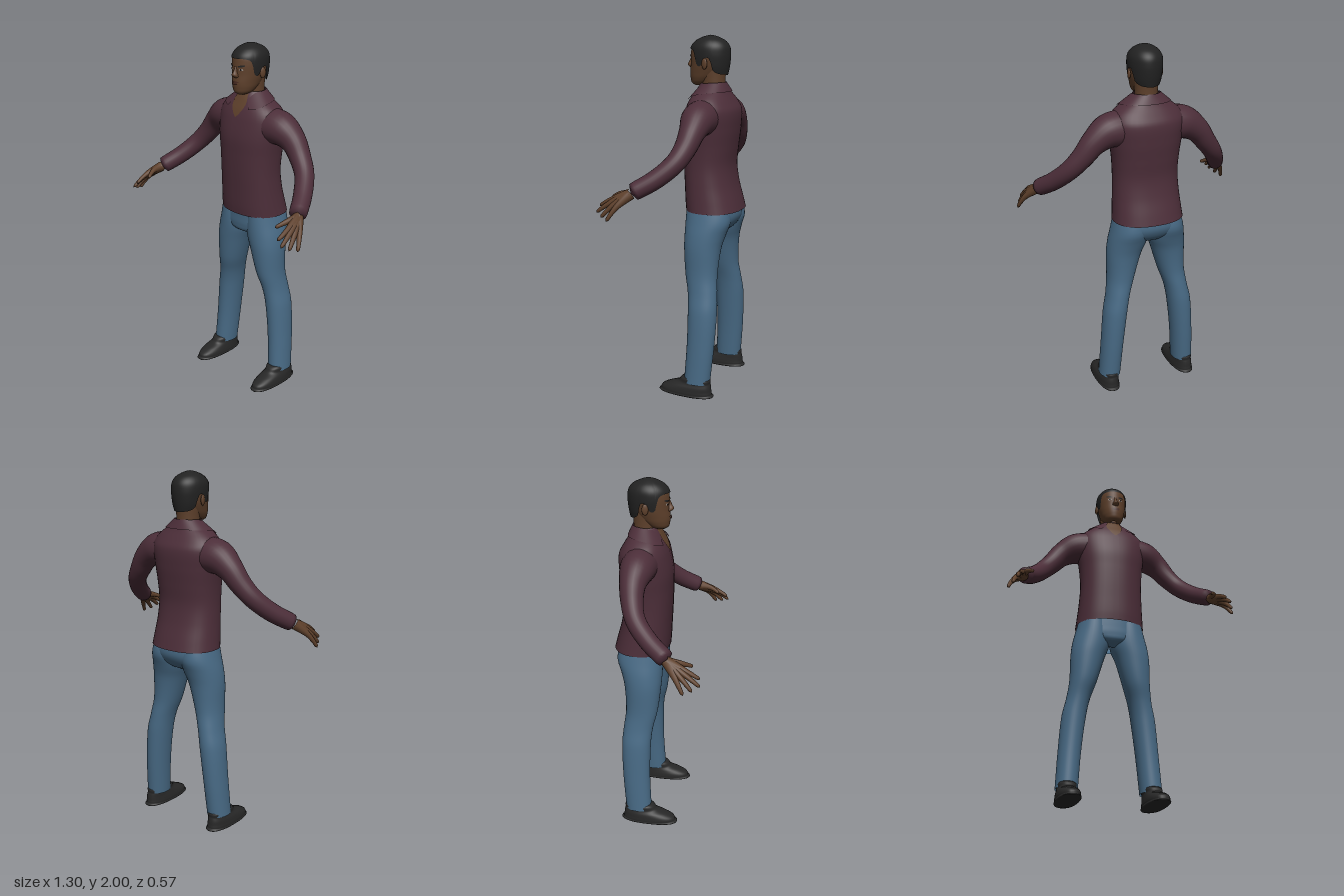
import * as THREE from 'three';
import { mergeVertices } from 'three/addons/utils/BufferGeometryUtils.js';

const mat = (name, color, side = THREE.FrontSide) => {
  const m = new THREE.MeshStandardMaterial({ color, side });
  m.name = name;
  return m;
};

// Smooth surface from f(u, v); its outside is du x dv.
function grid(f, nu, nv) {
  const pos = [], idx = [], w = nu + 1;
  for (let j = 0; j <= nv; j++)
    for (let i = 0; i <= nu; i++) pos.push(...f(i / nu, j / nv));
  for (let j = 0; j < nv; j++)
    for (let i = 0; i < nu; i++) {
      const a = j * w + i, b = a + 1, c = b + w, d = a + w;
      idx.push(a, b, c, a, c, d);
    }
  let g = new THREE.BufferGeometry();
  g.setAttribute('position', new THREE.Float32BufferAttribute(pos, 3));
  g.setIndex(idx);
  g = mergeVertices(g, 1e-5);
  g.computeVertexNormals();
  return g;
}

// Smoothly interpolated row of values at key y.
function sample(rows, y) {
  const n = rows.length - 1;
  let i = 0;
  while (i < n - 1 && y > rows[i + 1][0]) i++;
  const h = rows[i + 1][0] - rows[i][0];
  const t = THREE.MathUtils.clamp((y - rows[i][0]) / h, 0, 1);
  return rows[0].slice(1).map((_, k) => {
    const slope = (j) => {
      const p = rows[Math.max(0, j - 1)], q = rows[Math.min(n, j + 1)];
      return (q[k + 1] - p[k + 1]) / (q[0] - p[0]);
    };
    const a = rows[i][k + 1], b = rows[i + 1][k + 1], t2 = t * t, t3 = t2 * t;
    return a * (2 * t3 - 3 * t2 + 1) + b * (3 * t2 - 2 * t3)
      + h * (slope(i) * (t3 - 2 * t2 + t) + slope(i + 1) * (t3 - t2));
  });
}

// Body surface from rows [y, centreX, radiusX, frontZ, backZ]; angle 0 is the front.
const bow = (s, p) => Math.sign(s) * Math.abs(s) ** p;
const body = (rows, p = 1) => (a, y, off = 0) => {
  const [cx, rx, zf, zb] = sample(rows, y);
  return [cx + (Math.max(0, rx) + off) * bow(Math.sin(a), p), y,
    (zf + zb) / 2 + (Math.max(0, zf - zb) / 2 + off) * bow(Math.cos(a), p)];
};
const TAU = Math.PI * 2;
const loft = (rows, p = 1, nv = 40) => {
  const s = body(rows, p), y0 = rows[0][0], y1 = rows.at(-1)[0];
  return grid((u, v) => s(u * TAU, y0 + (y1 - y0) * v), 40, nv);
};

// Round limb through points [x, y, z, radius] with a rounded far end.
function limb(pts, nv, nu, round) {
  const curve = new THREE.CatmullRomCurve3(pts.map((p) => new THREE.Vector3(p[0], p[1], p[2])));
  const fr = curve.computeFrenetFrames(nv, false);
  const radii = pts.map((p, i) => [i / (pts.length - 1), p[3]]);
  return grid((u, v) => {
    const j = Math.round(v * nv), a = u * TAU;
    const e = Math.max(0, (v - round) / (1 - round));
    const r = sample(radii, curve.getUtoTmapping(v))[0] * Math.sqrt(Math.max(0, 1 - e * e));
    return curve.getPointAt(v)
      .addScaledVector(fr.normals[j], r * Math.cos(a))
      .addScaledVector(fr.binormals[j], r * Math.sin(a)).toArray();
  }, nu, nv);
}

// Mirror image across x, with the winding put right.
function mirrored(g) {
  const m = g.clone().scale(-1, 1, 1), ix = m.index.array;
  for (let i = 0; i < ix.length; i += 3) [ix[i], ix[i + 1]] = [ix[i + 1], ix[i]];
  m.computeVertexNormals();
  return m;
}

export function createModel() {
  const skin = mat('skin', 0x5e402b), lip = mat('lips', 0x4a2c23);
  const shirt = mat('shirt', 0x4c2e39, THREE.DoubleSide);
  const denim = mat('denim', 0x486a85, THREE.DoubleSide);
  const hairMat = mat('hair', 0x222222, THREE.DoubleSide);
  const leather = mat('shoe leather', 0x272727);
  const white = mat('eye white', 0x9a9088), dark = mat('pupil', 0x1a1210);
  const model = new THREE.Group();
  model.name = 'standingMan';
  const add = (name, geo, m) => {
    const mesh = new THREE.Mesh(geo, m);
    mesh.name = name;
    model.add(mesh);
  };
  const pair = (name, geo, m) => {
    add(name + 'Left', geo, m);
    add(name + 'Right', mirrored(geo), m);
  };

  // Shirt body
  const torsoRows = [
    [1.05, 0, 0.2, 0.022, -0.285], [1.1, 0, 0.195, 0.027, -0.272], [1.2, 0, 0.187, 0.032, -0.245],
    [1.3, 0, 0.183, 0.037, -0.232], [1.4, 0, 0.188, 0.04, -0.24], [1.5, 0, 0.2, 0.04, -0.25],
    [1.6, 0, 0.208, 0.022, -0.25], [1.65, 0, 0.188, 0.005, -0.225], [1.69, 0, 0.14, -0.015, -0.2],
    [1.72, 0, 0.09, -0.03, -0.185], [1.745, 0, 0.07, -0.045, -0.17]];
  const torso = body(torsoRows, 0.87);
  add('shirtBody', loft(torsoRows, 0.87, 56), shirt);
  add('placket', grid((u, v) => torso((u - 0.5) * 0.12, 1.055 + 0.56 * v, 0.004), 4, 30), shirt);
  // Open neckline
  add('neckline', grid((u, v) => torso((u - 0.5) * 0.9 * v, 1.61 + 0.125 * v, 0.005), 8, 16), skin);
  // Folded collar, lower towards the front
  add('collar', grid((u, v) => {
    const a = 0.38 + u * (TAU - 0.76), f = ((1 + Math.cos(a)) / 2) ** 3;
    const lo = torso(a, 1.7 - 0.045 * f, 0.009);
    const hi = [0.078 * Math.sin(a), 1.75 - 0.025 * f, -0.108 + 0.073 * Math.cos(a)];
    return lo.map((c, k) => c + (hi[k] - c) * v);
  }, 40, 6), shirt);

  // Sleeves
  pair('sleeve', limb([[0.12, 1.57, -0.11, 0.1], [0.22, 1.56, -0.115, 0.092], [0.3, 1.51, -0.12, 0.07],
    [0.36, 1.437, -0.11, 0.059], [0.42, 1.365, -0.08, 0.053], [0.485, 1.285, 0, 0.05],
    [0.55, 1.215, 0.11, 0.047]], 40, 24, 0.965), shirt);

  // Hands: five digits that merge into the palm
  const wrist = [0.555, 1.212, 0.11];
  const tips = { thumb: [0.515, 1.18, 0.235], indexFinger: [0.575, 1.14, 0.28],
    middleFinger: [0.603, 1.11, 0.285], ringFinger: [0.625, 1.09, 0.248], littleFinger: [0.645, 1.078, 0.205] };
  for (const [name, tip] of Object.entries(tips)) {
    const at = (t, up, r) => [...wrist.map((c, k) => c + (tip[k] - c) * t + (k < 2 ? up : 0)), r];
    const slim = name === 'thumb' ? 0.9 : 1;
    pair(name, limb([at(0, 0, 0.03), at(0.25, 0.006, 0.023 * slim), at(0.52, 0.01, 0.0155),
      at(0.78, 0.007, 0.0115), at(1, 0, 0.009)], 18, 10, 0.92), skin);
  }

  // Trousers
  add('trouserSeat', loft([[0.915, 0, 0.05, -0.07, -0.17], [0.935, 0, 0.12, -0.015, -0.21],
    [0.97, 0, 0.188, -0.002, -0.245], [1.02, 0, 0.196, 0, -0.265], [1.1, 0, 0.182, 0, -0.255]], 0.9, 20), denim);
  pair('trouserLeg', loft([[0.085, 0.235, 0.061, -0.045, -0.195], [0.3, 0.22, 0.063, -0.055, -0.213],
    [0.5, 0.2, 0.067, -0.053, -0.22], [0.6, 0.18, 0.066, -0.043, -0.212], [0.7, 0.157, 0.076, -0.02, -0.202],
    [0.85, 0.133, 0.097, -0.004, -0.213], [0.93, 0.114, 0.107, 0, -0.235],
    [1.0, 0.105, 0.1, 0, -0.257], [1.1, 0.1, 0.08, -0.005, -0.24]], 0.95, 48), denim);

  // Shoes
  pair('shoe', loft([[0, 0.24, 0, -0.055, -0.055], [0.003, 0.24, 0.053, 0.09, -0.2],
    [0.02, 0.24, 0.061, 0.099, -0.209], [0.04, 0.24, 0.06, 0.09, -0.207], [0.06, 0.24, 0.056, 0.05, -0.205],
    [0.08, 0.238, 0.05, -0.005, -0.2], [0.115, 0.237, 0.045, -0.045, -0.185],
    [0.12, 0.237, 0, -0.11, -0.11]], 0.85, 48), leather);

  // Head and neck
  add('neck', loft([[1.6, 0, 0.068, -0.05, -0.18], [1.68, 0, 0.063, -0.05, -0.175],
    [1.75, 0, 0.061, -0.045, -0.175], [1.82, 0, 0.064, -0.04, -0.18]], 1, 16), skin);
  const headRows = [[1.73, 0, 0.02, -0.005, -0.06], [1.742, 0, 0.045, 0.014, -0.09],
    [1.77, 0, 0.062, 0.022, -0.13], [1.8, 0, 0.071, 0.024, -0.16], [1.84, 0, 0.08, 0.02, -0.18],
    [1.9, 0, 0.086, 0.018, -0.19], [1.94, 0, 0.081, 0.01, -0.185], [1.97, 0, 0.058, -0.018, -0.16],
    [1.985, 0, 0.025, -0.06, -0.125], [1.99, 0, 0, -0.09, -0.09]];
  const head = body(headRows);
  add('head', loft(headRows, 1, 52), skin);
  add('nose', loft([[1.822, 0, 0.005, 0.018, 0.008], [1.83, 0, 0.018, 0.033, 0],
    [1.842, 0, 0.017, 0.043, 0], [1.86, 0, 0.01, 0.034, 0], [1.885, 0, 0.008, 0.022, 0]], 1, 16), skin);
  pair('ear', new THREE.SphereGeometry(1, 16, 12).scale(0.009, 0.03, 0.018)
    .rotateY(-0.25).translate(0.09, 1.85, -0.095), skin);

  // Facial details laid on the head surface
  const spot = (a0, y0, da, dy, off, tilt = 0) => grid((u, v) => {
    const a = da * u * Math.cos(v * TAU), y = dy * u * Math.sin(v * TAU);
    return head(a0 + a, y0 + y + a * tilt, off);
  }, 4, 24);
  pair('eyebrow', spot(0.42, 1.889, 0.23, 0.005, 0.004, 0.015), hairMat);
  pair('eyeWhite', spot(0.41, 1.87, 0.14, 0.006, 0.003), white);
  pair('pupil', spot(0.4, 1.87, 0.06, 0.0058, 0.0045), dark);
  add('upperLip', spot(0, 1.803, 0.36, 0.005, 0.004), lip);
  add('lowerLip', spot(0, 1.794, 0.3, 0.006, 0.006), lip);

  // Short hair with sideburns and a nape line
  const hair = body([[1.775, 0, 0.066, 0, -0.188], [1.82, 0, 0.083, 0.018, -0.198],
    [1.86, 0, 0.089, 0.024, -0.204], [1.9, 0, 0.092, 0.024, -0.206], [1.94, 0, 0.088, 0.017, -0.2],
    [1.97, 0, 0.069, -0.01, -0.176], [1.988, 0, 0.042, -0.045, -0.14],
    [1.997, 0, 0.018, -0.075, -0.112], [2, 0, 0, -0.093, -0.093]]);
  const hairline = [[0, 1.927], [0.7, 1.925], [1, 1.905], [1.15, 1.845], [1.4, 1.84],
    [1.55, 1.875], [1.85, 1.875], [2.05, 1.81], [Math.PI, 1.788]];
  add('hair', grid((u, v) => {
    const a = u * TAU, edge = sample(hairline, Math.min(a, TAU - a))[0];
    return hair(a, 2 - (2 - edge) * (1 - v) ** 1.6);
  }, 72, 28), hairMat);

  return model;
}
